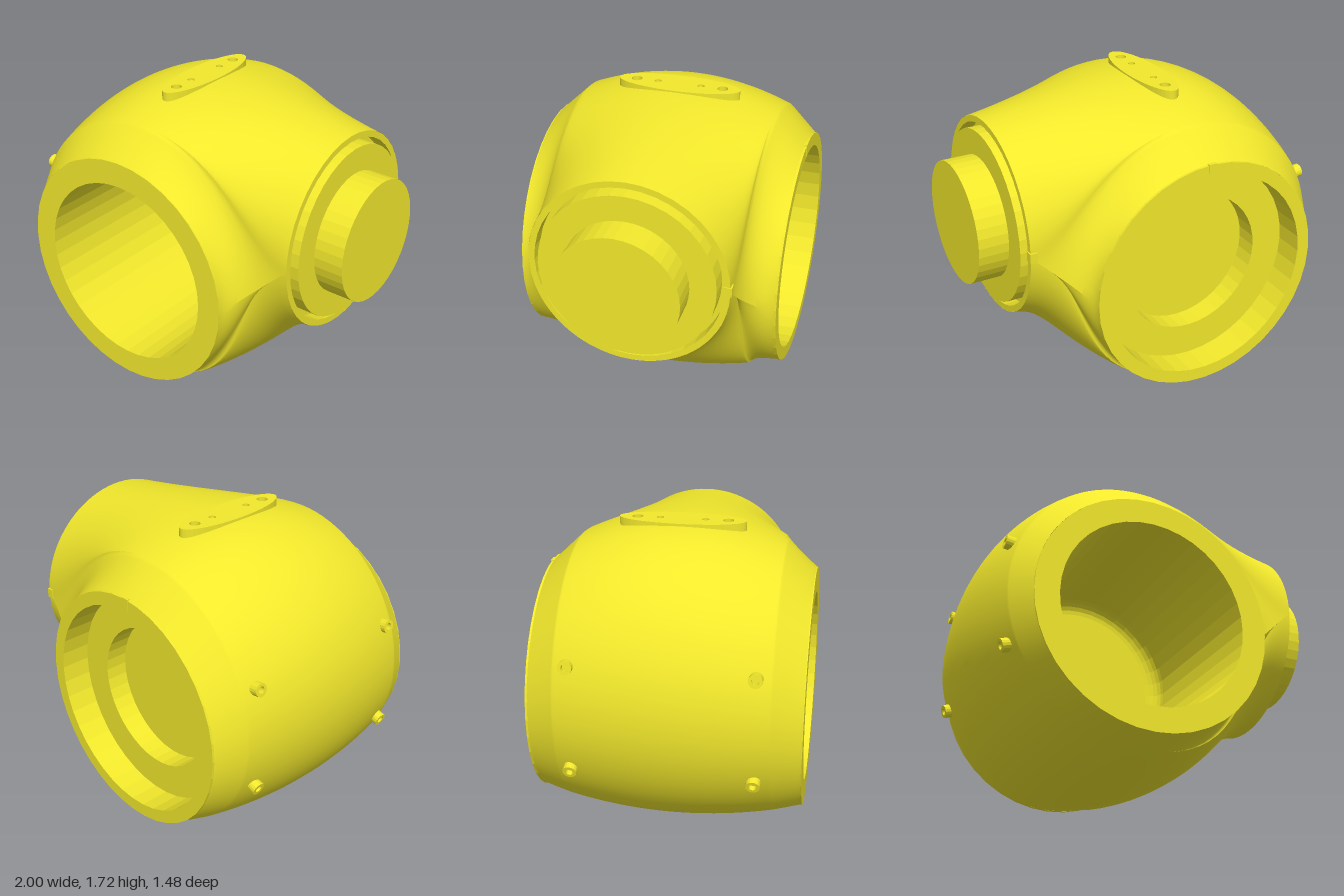
import * as THREE from 'three';
import { toCreasedNormals } from 'three/addons/utils/BufferGeometryUtils.js';

const CX = -0.17, CY = 0.77;          // axis of the drum
const ARM_Y = 1.055, ARM_R = 0.555;   // axis and radius of the arm socket
const smooth = new THREE.MeshStandardMaterial({ color: 0xf2e82c, side: THREE.DoubleSide });
const faceted = new THREE.MeshStandardMaterial({ color: 0xf2e82c, side: THREE.DoubleSide, flatShading: true });

const lerp = THREE.MathUtils.lerp;
const V = (x, y) => new THREE.Vector2(x, y);

function part(name, geometry, material = faceted) {
  const mesh = new THREE.Mesh(geometry, material);
  mesh.name = name;
  return mesh;
}

// Turned part from [radius, height] pairs, axis along y
function turned(pairs, segments = 40) {
  return new THREE.LatheGeometry(pairs.map(([r, h]) => V(r, h)), segments);
}

// Inner handles of the curves that join drum and arm: [x1, x2, y2]
// for the middle slice, the slice at the arm's side, and the drum's end
const TOP = [[0.15, 0.5, 1.655], [0.4, 0.5, 1.15], [0.2, 0.505, 1.143]];
const BOTTOM = [[0.45, 0.5, 0.48], [0.62, 0.42, 0.9], [0.2, 0.505, 0.397]];

// One slice of the housing at height z: arm top, round the drum, arm bottom.
// step 0..1 covers the arm's width, 1..2 the flare out to the drum's end
function housingSlice(step, side) {
  const onArm = step <= 1;
  const phi = (onArm ? step : step - 1) * Math.PI / 2;
  const z = onArm ? ARM_R * Math.sin(phi) : 0.73 - 0.175 * Math.cos(phi);
  const blend = onArm ? 1 - Math.cos(phi) : Math.sin(phi);
  const row = onArm ? 0 : 1;
  const handles = (table) => table[row].map((v, i) => lerp(v, table[row + 1][i], blend));

  const m = Math.min(z / 0.57, 1) ** 2, n = Math.max(0, (z - 0.57) / 0.16);
  const top = 1.715 - 0.115 * m - 0.155 * n;
  const left = -1 + 0.07 * m + 0.085 * n;
  const bottom = 0.1 * (z / 0.73) ** 2;
  const cy = 0.86 - 0.03 * m - 0.06 * n;
  const endX = onArm ? 0.8 : lerp(0.8, 0.505, blend);
  const endY = onArm ? ARM_Y : lerp(ARM_Y, CY, blend);
  const half = onArm ? ARM_R * Math.cos(phi) : 0;

  const k = 0.5523, a = k * (CX - left);
  const [tx1, tx2, ty2] = handles(TOP), [bx1, bx2, by2] = handles(BOTTOM);
  const curves = [
    [V(endX, endY + half), V(tx2, ty2), V(tx1, top), V(CX, top)],
    [V(CX, top), V(CX - a, top), V(left, cy + k * (top - cy)), V(left, cy)],
    [V(left, cy), V(left, cy - k * (cy - bottom)), V(CX - a, bottom), V(CX, bottom)],
    [V(CX, bottom), V(bx1, bottom), V(bx2, by2), V(endX, endY - half)],
  ];
  const points = curves.flatMap((c, i) =>
    new THREE.CubicBezierCurve(...c).getPoints(22).slice(i ? 1 : 0));
  return points.map((p) => [p.x, p.y, z * side]);
}

function housingGeometry() {
  const N = 20, slices = [];
  for (let i = -2 * N; i <= 2 * N; i++) slices.push(housingSlice(Math.abs(i) / N, Math.sign(i)));
  const w = slices[0].length, index = [];
  for (let i = 0; i < slices.length - 1; i++) {
    for (let j = 0; j < w - 1; j++) {
      const p = i * w + j;
      index.push(p, p + 1, p + w, p + 1, p + w + 1, p + w);
    }
  }
  const g = new THREE.BufferGeometry();
  g.setAttribute('position', new THREE.Float32BufferAttribute(slices.flat(2), 3));
  g.setIndex(index);
  return toCreasedNormals(g, 0.3);
}

export function createModel() {
  const model = new THREE.Group();
  model.name = 'jointHousing';
  model.add(part('housingShell', housingGeometry(), smooth));

  // Deep front bore with a rounded floor
  const front = [[0.675, 0.72], [0.675, 0.735], [0.535, 0.735], [0.535, 0.3], [0.535, -0.22]];
  for (let i = 1; i <= 5; i++) {
    const t = i / 5 * Math.PI / 2;
    front.push([0.455 + 0.08 * Math.cos(t), -0.22 - 0.08 * Math.sin(t)]);
  }
  front.push([0, -0.3]);
  const frontBore = part('frontBore', turned(front));
  frontBore.rotation.x = Math.PI / 2;
  frontBore.position.set(CX, CY, 0);
  model.add(frontBore);

  // Stepped recess at the back
  const backBore = part('backRecess', turned([[0.675, 0.72], [0.675, 0.742], [0.6, 0.742],
    [0.6, 0.57], [0.41, 0.57], [0.41, 0.44], [0, 0.44]]));
  backBore.rotation.x = -Math.PI / 2;
  backBore.position.set(CX, CY, 0);
  model.add(backBore);

  // Arm socket: rim, narrow groove, plug and output shaft
  const socket = part('armSocket', turned([[ARM_R, 0.79], [ARM_R, 0.8], [0.52, 0.8], [0.52, 0.72],
    [0.49, 0.72], [0.49, 0.83], [0.345, 0.83], [0.345, 1], [0, 1]]));
  socket.rotation.z = -Math.PI / 2;
  socket.position.y = ARM_Y;
  model.add(socket);

  // Oval pad on top with four holes
  const oval = new THREE.Shape().absellipse(0, 0, 0.105, 0.35, 0, Math.PI * 2);
  for (const [z, r] of [[0.25, 0.03], [0.125, 0.02], [-0.125, 0.02], [-0.25, 0.03]]) {
    oval.holes.push(new THREE.Path().absarc(0, z, r, 0, Math.PI * 2, true));
  }
  const pad = part('topPad', new THREE.ExtrudeGeometry(oval, { depth: 0.1, bevelEnabled: false, curveSegments: 24 }));
  pad.rotation.x = -Math.PI / 2;
  pad.position.set(CX + 0.005, 1.622, 0);
  model.add(pad);

  // Four socket screws on the rounded side
  for (const z of [-0.49, 0.49]) {
    for (const [y, tilt] of [[1.13, -0.15], [0.54, 0.3]]) {
      const screw = part('sideScrew', turned([[0.038, -0.03], [0.038, 0.05], [0.02, 0.05], [0.02, 0.02], [0, 0.02]], 16));
      screw.rotation.z = Math.PI / 2 + tilt;
      screw.position.set(-0.88, y, z);
      model.add(screw);
    }
  }

  // Index keys on the back rim and the arm rim
  const backKey = part('backKey', new THREE.BoxGeometry(0.05, 0.07, 0.04));
  backKey.position.set(CX, CY + 0.645, -0.725);
  const armKey = part('armKey', new THREE.BoxGeometry(0.04, 0.055, 0.045));
  armKey.position.set(0.785, ARM_Y, -0.54);
  model.add(backKey, armKey);

  return model;
}
